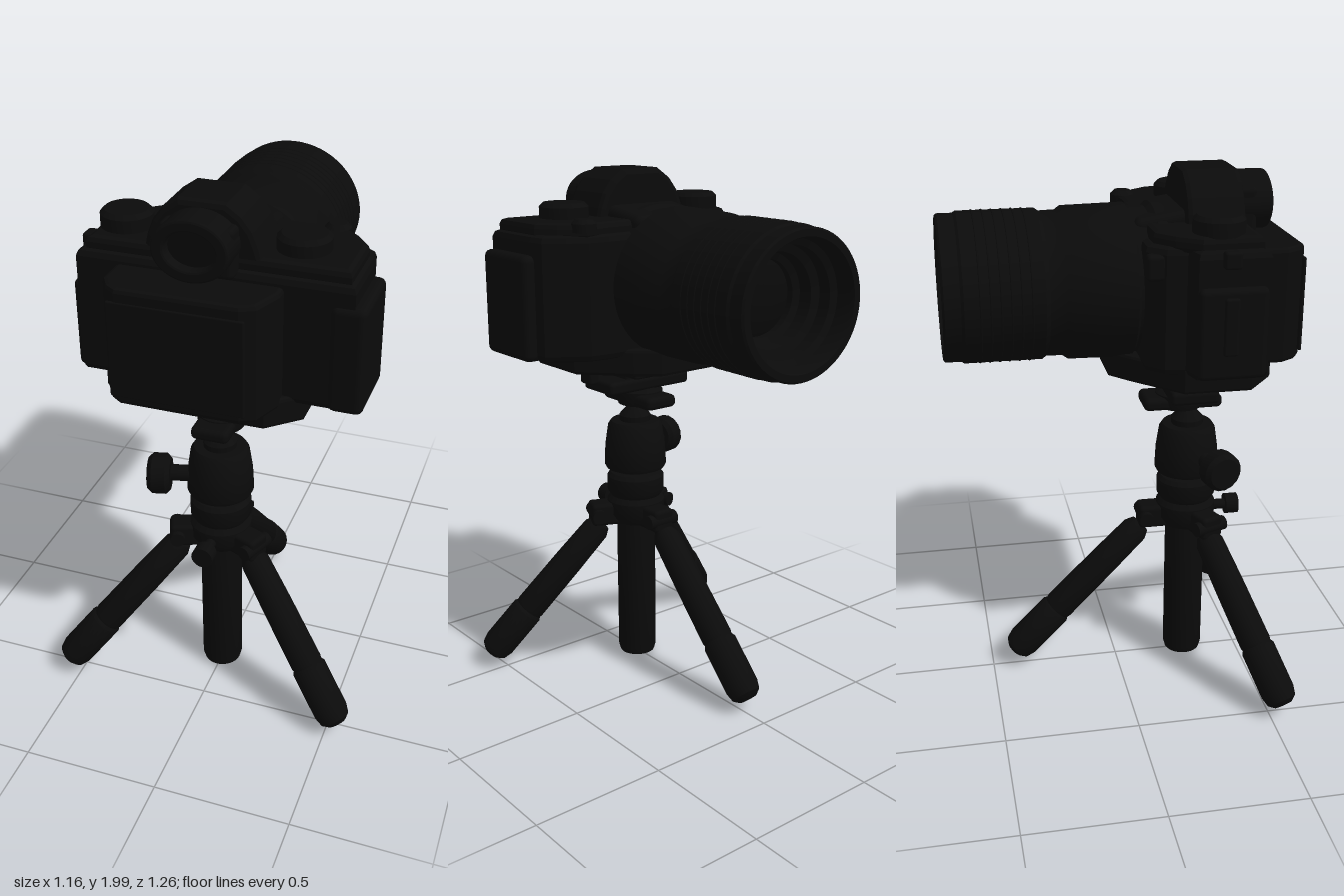
import * as THREE from 'three';
import { RoundedBoxGeometry } from 'three/addons/geometries/RoundedBoxGeometry.js';
import { toCreasedNormals } from 'three/addons/utils/BufferGeometryUtils.js';

const black = new THREE.MeshStandardMaterial({ color: 0x0b0b0b });
black.name = 'matte black';
const glassBlack = new THREE.MeshStandardMaterial({ color: 0x090909 });
glassBlack.name = 'glass black';

const V = (x, y, z) => new THREE.Vector3(x, y, z);
const PZ = 0.28; // z of the tripod axis

export function createModel() {
  const root = new THREE.Group();
  root.name = 'cameraOnTripod';

  const add = (name, geo, x = 0, y = 0, z = 0, parent = root, mat = black) => {
    const m = new THREE.Mesh(geo, mat);
    m.name = name;
    m.position.set(x, y, z);
    parent.add(m);
    return m;
  };
  // Plan outline of [x, z] points, raised from y0 to y1
  const slab = (name, pts, y0, y1, b = 0.015) => {
    const s = new THREE.Shape(pts.map(p => new THREE.Vector2(p[0], p[1])));
    const g = new THREE.ExtrudeGeometry(s, {
      depth: y1 - y0 - 2 * b, bevelThickness: b, bevelSize: b, bevelOffset: -b, bevelSegments: 2,
    });
    g.rotateX(Math.PI / 2);
    return add(name, g, 0, y1 - b, 0);
  };
  // Turned part from [radius, height] points, bottom to top
  const turned = (pts, n = 40) =>
    toCreasedNormals(new THREE.LatheGeometry(pts.map(p => new THREE.Vector2(p[0], p[1])), n), 0.6);
  const box = (name, w, h, d, x, y, z, r = 0.015) =>
    add(name, new RoundedBoxGeometry(w, h, d, 2, r), x, y, z);
  // Turn a part's own y axis towards a direction
  const aim = (m, dir) => {
    m.quaternion.setFromUnitVectors(V(0, 1, 0), dir.clone().normalize());
    return m;
  };

  // ---- Tripod ----
  add('centreHandle', turned([[0, 0.01], [0.05, 0.01], [0.07, 0.02], [0.077, 0.045], [0.077, 0.64], [0, 0.64]]), 0, 0, PZ);
  add('hub', turned([[0, 0.6], [0.09, 0.6], [0.115, 0.64], [0.115, 0.69], [0.1, 0.71], [0.113, 0.73], [0.113, 0.79],
    [0.1, 0.805], [0.08, 0.81], [0.08, 0.83]]), 0, 0, PZ);
  add('ballHousing', turned([[0, 0.825], [0.115, 0.825], [0.123, 0.84], [0.119, 0.92], [0.107, 1.0], [0.095, 1.018], [0, 1.018]]), 0, 0, PZ);
  add('ballNeck', turned([[0.06, 1.01], [0.062, 1.04], [0.045, 1.06], [0.03, 1.075], [0.03, 1.11]]), 0, 0, PZ);

  // Each leg: hinge block, tapered upper tube and thicker rounded foot
  const leg = (name, top, end) => {
    const g = new THREE.Group();
    g.name = name;
    root.add(g);
    const dir = end.clone().sub(top);
    const L = dir.length();
    const tube = turned([[0, -0.02], [0.04, -0.02], [0.054, 0.01], [0.058, L * 0.3], [0.06, L * 0.68], [0.057, L * 0.7],
      [0.065, L * 0.72], [0.065, L], [0.056, L + 0.035], [0.035, L + 0.052], [0, L + 0.055]], 28);
    aim(add('legTube', tube, top.x, top.y, top.z, g), dir);
    const out = V(top.x, 0, top.z - PZ).normalize();
    const hinge = add('hinge', new RoundedBoxGeometry(0.09, 0.09, 0.12, 2, 0.015),
      out.x * 0.13, 0.64, PZ + out.z * 0.13, g);
    hinge.rotation.y = Math.atan2(out.x, out.z);
    const pin = add('hingePin', new THREE.CylinderGeometry(0.028, 0.028, 0.13, 16).rotateZ(Math.PI / 2),
      out.x * 0.165, 0.64, PZ + out.z * 0.165, g);
    pin.rotation.y = hinge.rotation.y;
  };
  leg('leftLeg', V(0.15, 0.58, 0.34), V(0.515, 0.105, 0.53));
  leg('rightLeg', V(-0.15, 0.58, 0.34), V(-0.515, 0.105, 0.53));
  leg('lensSideLeg', V(0, 0.58, 0.085), V(0, 0.11, -0.375));

  // Clamp screw on the hub and the ball lock knob
  add('hubScrew', new THREE.CylinderGeometry(0.02, 0.02, 0.1, 16).rotateX(Math.PI / 2), 0, 0.655, 0.42);
  add('hubScrewHead', new THREE.CylinderGeometry(0.04, 0.04, 0.05, 20).rotateX(Math.PI / 2), 0, 0.655, 0.465);
  const knobDir = V(-1, 0, 0.25);
  aim(add('lockStem', new THREE.CylinderGeometry(0.03, 0.03, 0.14, 16), -0.12, 0.9, 0.33), knobDir);
  aim(add('lockKnob', turned([[0, -0.04], [0.06, -0.04], [0.075, -0.025], [0.075, 0.025], [0.06, 0.042], [0, 0.042]], 16),
    -0.205, 0.9, 0.36), knobDir);

  // Quick release clamp
  add('clampDisc', turned([[0, 1.09], [0.085, 1.095], [0.095, 1.12], [0.095, 1.15], [0.06, 1.17], [0, 1.17]]), 0, 0, 0.25).scale.x = 0.95;
  box('clampLower', 0.14, 0.05, 0.3, 0, 1.12, 0.25, 0.02);
  box('clampBar', 0.38, 0.05, 0.18, 0, 1.185, 0.265);
  box('clampJaw', 0.2, 0.05, 0.17, 0, 1.22, 0.28);
  box('releasePlate', 0.28, 0.035, 0.27, 0, 1.252, 0.22, 0.01);
  box('clampLever', 0.045, 0.11, 0.07, 0.22, 1.255, 0.27, 0.012);

  // ---- Camera body ----
  slab('basePlate', [[-0.36, 0.18], [-0.2, 0.02], [-0.12, -0.05], [0.12, -0.05], [0.2, 0.02], [0.35, 0.18],
    [0.35, 0.42], [0.24, 0.52], [-0.24, 0.52], [-0.36, 0.42]], 1.27, 1.37, 0.012);
  const outline = [[-0.43, 0.2], [-0.36, 0.18], [-0.35, 0.11], [-0.29, 0.05], [0.28, 0.04], [0.36, 0.05], [0.43, 0.09],
    [0.5, 0.14], [0.51, 0.2], [0.51, 0.45], [-0.43, 0.45]];
  slab('body', outline, 1.34, 1.79, 0.025);
  slab('shoulders', [[-0.4, 0.22], [-0.34, 0.14], [-0.27, 0.08], [0.27, 0.07], [0.36, 0.06], [0.44, 0.13],
    [0.49, 0.2], [0.49, 0.43], [-0.4, 0.43]], 1.77, 1.83, 0.02);
  box('leftGrip', 0.12, 0.38, 0.28, 0.49, 1.53, 0.32, 0.025);
  box('rightSide', 0.1, 0.32, 0.24, -0.405, 1.51, 0.32, 0.02);
  slab('rearHousing', [[-0.29, 0.4], [0.28, 0.4], [0.28, 0.49], [0.24, 0.6], [0.19, 0.625], [-0.22, 0.628],
    [-0.26, 0.6], [-0.29, 0.55]], 1.34, 1.755, 0.015);
  box('screen', 0.46, 0.34, 0.012, -0.02, 1.54, 0.625, 0.005);

  // Viewfinder hump: arched cross-section along z, then the eyepiece
  const arch = new THREE.Shape([[-0.2, 1.8], [0.2, 1.8], [0.185, 1.86], [0.165, 1.91], [0.13, 1.955], [0.08, 1.99],
    [-0.08, 1.99], [-0.13, 1.955], [-0.165, 1.91], [-0.185, 1.86]].map(p => new THREE.Vector2(...p)));
  const hump = new THREE.ExtrudeGeometry(arch, { depth: 0.17, bevelThickness: 0.02, bevelSize: 0.02, bevelOffset: -0.015, bevelSegments: 2 });
  add('viewfinderHump', hump, 0, 0, 0.235);
  const nose = box('humpNose', 0.32, 0.1, 0.24, 0, 1.81, 0.16, 0.03);
  nose.rotation.x = -0.15;
  const eyePath = (r, k) => new THREE.Path().absellipse(0, 1.87, r, r * k, 0, Math.PI * 2);
  const eye = new THREE.Shape(eyePath(0.13, 0.8).getPoints(32));
  eye.holes.push(new THREE.Path(eyePath(0.085, 0.75).getPoints(32)));
  add('eyecup', new THREE.ExtrudeGeometry(eye, { depth: 0.13, bevelThickness: 0.01, bevelSize: 0.008, bevelOffset: -0.008, bevelSegments: 2 }), 0, 0, 0.4);
  add('eyepieceGlass', new THREE.CircleGeometry(0.09, 32), 0, 1.87, 0.5, root, glassBlack);
  box('eyepieceBlock', 0.25, 0.17, 0.09, 0, 1.85, 0.44, 0.02);

  // Top dials, shutter button and strap lugs
  for (const [x, h] of [[-0.31, 0.065], [0.3, 0.06]]) {
    add('topDial', turned([[0, 0], [0.09, 0], [0.09, h - 0.015], [0.075, h], [0, h]], 32), x, 1.825, 0.295);
  }
  add('shutterButton', turned([[0, 0], [0.045, 0], [0.045, 0.03], [0.03, 0.045], [0, 0.045]], 24), 0.355, 1.8, 0.09);
  box('strapLugRight', 0.04, 0.06, 0.06, -0.44, 1.765, 0.31, 0.01);
  box('sideButtons', 0.03, 0.2, 0.05, -0.452, 1.54, 0.31, 0.008);
  box('bodySwitch', 0.05, 0.09, 0.07, -0.32, 1.72, 0.08, 0.015);

  // ---- Lens: profile turned about z, with a hollow stepped front ----
  const lens = new THREE.Group();
  lens.name = 'lens';
  lens.position.set(-0.013, 1.597, 0);
  lens.rotation.x = -Math.PI / 2;
  lens.scale.set(1.02, 1, 0.97);
  root.add(lens);
  add('barrel', turned([[0.25, -0.2], [0.285, -0.15], [0.285, -0.12], [0.27, -0.1], [0.27, -0.04], [0.283, -0.03],
    [0.279, 0.19], [0.265, 0.21], [0.263, 0.27], [0.274, 0.285], [0.274, 0.56], [0.267, 0.57], [0.267, 0.625], [0.26, 0.632],
    [0.235, 0.632], [0.228, 0.615], [0.225, 0.56], [0.2, 0.55], [0.2, 0.5], [0.17, 0.49], [0.165, 0.44], [0.14, 0.43], [0.14, 0.4]], 64), 0, 0, 0, lens);
  add('frontGlass', turned([[0.15, 0.4], [0.12, 0.415], [0.06, 0.428], [0, 0.43]]), 0, 0, 0, lens, glassBlack);
  // Grip ribs on the focus ring
  for (let i = 0; i < 6; i++) {
    add('focusRib', new THREE.TorusGeometry(0.273, 0.004, 6, 64).rotateX(Math.PI / 2), 0, 0.33 + i * 0.035, 0, lens);
  }
  return root;
}
